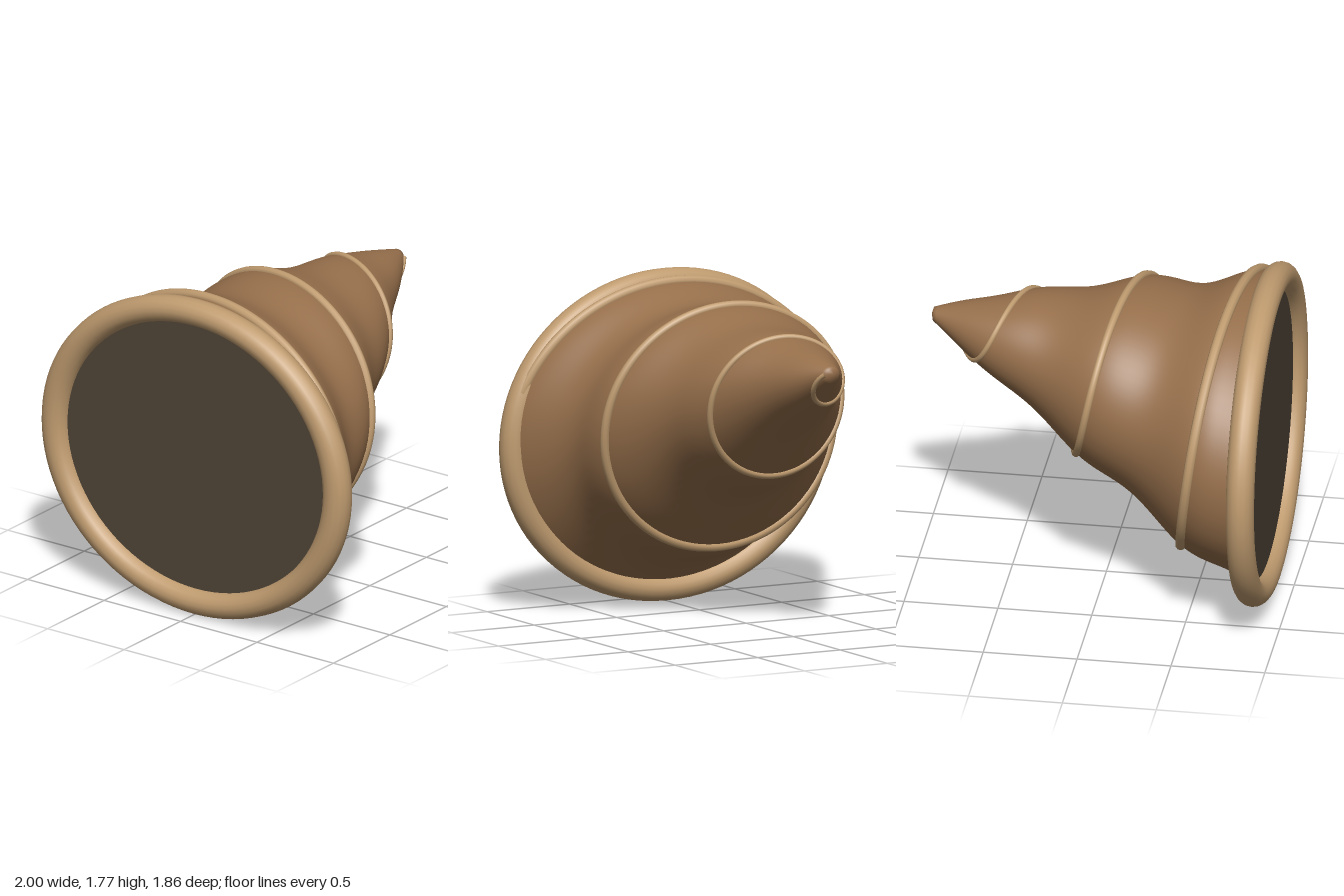
import * as THREE from 'three';

const FRONT = 0.87, BACK = -0.93, RATIO = 0.88;
const RIDGE_START = 0.85, PITCH = 0.587; // the ridge moves back by PITCH each turn

// Shell spine at even steps in z: radius and centre height
const radii = [0.925, 0.855, 0.765, 0.675, 0.58, 0.48, 0.37, 0.265, 0.16, 0.035];
const heights = [0.888, 0.94, 1.005, 1.075, 1.145, 1.215, 1.28, 1.34, 1.405, 1.46];
const spine = new THREE.CatmullRomCurve3(
  radii.map((r, i) => new THREE.Vector3(r, heights[i], FRONT + (BACK - FRONT) * i / (radii.length - 1))),
  false, 'catmullrom');

// Point on the shell; it swells along the spiral ridge
function shellPoint(z, angle) {
  const s = spine.getPoint(THREE.MathUtils.clamp((FRONT - z) / (FRONT - BACK), 0, 1));
  const crest = (RIDGE_START - z) / PITCH * Math.PI * 2;
  const r = s.x * (1 + 0.042 * Math.cos(angle - crest));
  return new THREE.Vector3(r * Math.cos(angle), s.y + r * RATIO * Math.sin(angle), z);
}

// Spiral cone skinned over elliptical rings, closed at the tip
function shellGeometry(rings = 90, sides = 80) {
  const pos = [], idx = [];
  for (let i = 0; i <= rings; i++) {
    const z = FRONT - 0.01 + (BACK + 0.01 - FRONT + 0.01) * i / rings;
    for (let j = 0; j < sides; j++) pos.push(...shellPoint(z, j / sides * Math.PI * 2).toArray());
  }
  for (let i = 0; i < rings; i++) {
    for (let j = 0; j < sides; j++) {
      const k = (j + 1) % sides;
      const a = i * sides + j, b = i * sides + k, c = a + sides, d = b + sides;
      idx.push(a, c, b, b, c, d);
    }
  }
  const tip = pos.length / 3;
  pos.push(0, heights[heights.length - 1], BACK);
  for (let j = 0; j < sides; j++) idx.push(rings * sides + j, tip, rings * sides + (j + 1) % sides);
  const g = new THREE.BufferGeometry();
  g.setAttribute('position', new THREE.Float32BufferAttribute(pos, 3));
  g.setIndex(idx);
  g.computeVertexNormals();
  return g;
}

// Tapering cord wound three times round the shell
function ridgeGeometry() {
  const points = [], steps = 180, turns = 3.01, segments = 400, sides = 10;
  for (let i = 0; i <= steps; i++) {
    const t = i / steps * turns;
    points.push(shellPoint(RIDGE_START - PITCH * t, t * Math.PI * 2));
  }
  const path = new THREE.CatmullRomCurve3(points);
  path.arcLengthDivisions = 1000;
  const g = new THREE.TubeGeometry(path, segments, 0.029, sides);
  const p = g.attributes.position, v = new THREE.Vector3();
  for (let i = 0; i <= segments; i++) {
    const u = i / segments, centre = path.getPointAt(u);
    for (let j = 0; j <= sides; j++) {
      const n = i * (sides + 1) + j;
      v.fromBufferAttribute(p, n).lerp(centre, 0.55 * u * u);
      p.setXYZ(n, v.x, v.y, v.z);
    }
  }
  return g;
}

export function createModel() {
  const group = new THREE.Group();
  const shellBrown = new THREE.MeshStandardMaterial({ name: 'shellBrown', color: 0x966f4b });
  const rimTan = new THREE.MeshStandardMaterial({ name: 'rimTan', color: 0xbf9b6f });
  const openingDark = new THREE.MeshStandardMaterial({ name: 'openingDark', color: 0x4f4437 });

  const add = (name, geometry, material) => {
    const mesh = new THREE.Mesh(geometry, material);
    mesh.name = name;
    group.add(mesh);
    return mesh;
  };

  add('shell', shellGeometry(), shellBrown);
  add('spiralRidge', ridgeGeometry(), rimTan);

  // Oval lip around the mouth
  const rim = add('rim', new THREE.TorusGeometry(0.92, 0.08, 16, 96), rimTan);
  rim.scale.set(1, 0.887, 0.94);
  rim.position.set(0, 0.887, 0.855);

  // Dark mouth
  const opening = add('opening', new THREE.CircleGeometry(0.88, 96), openingDark);
  opening.scale.y = 0.887;
  opening.position.set(0, 0.887, 0.862);

  return group;
}
